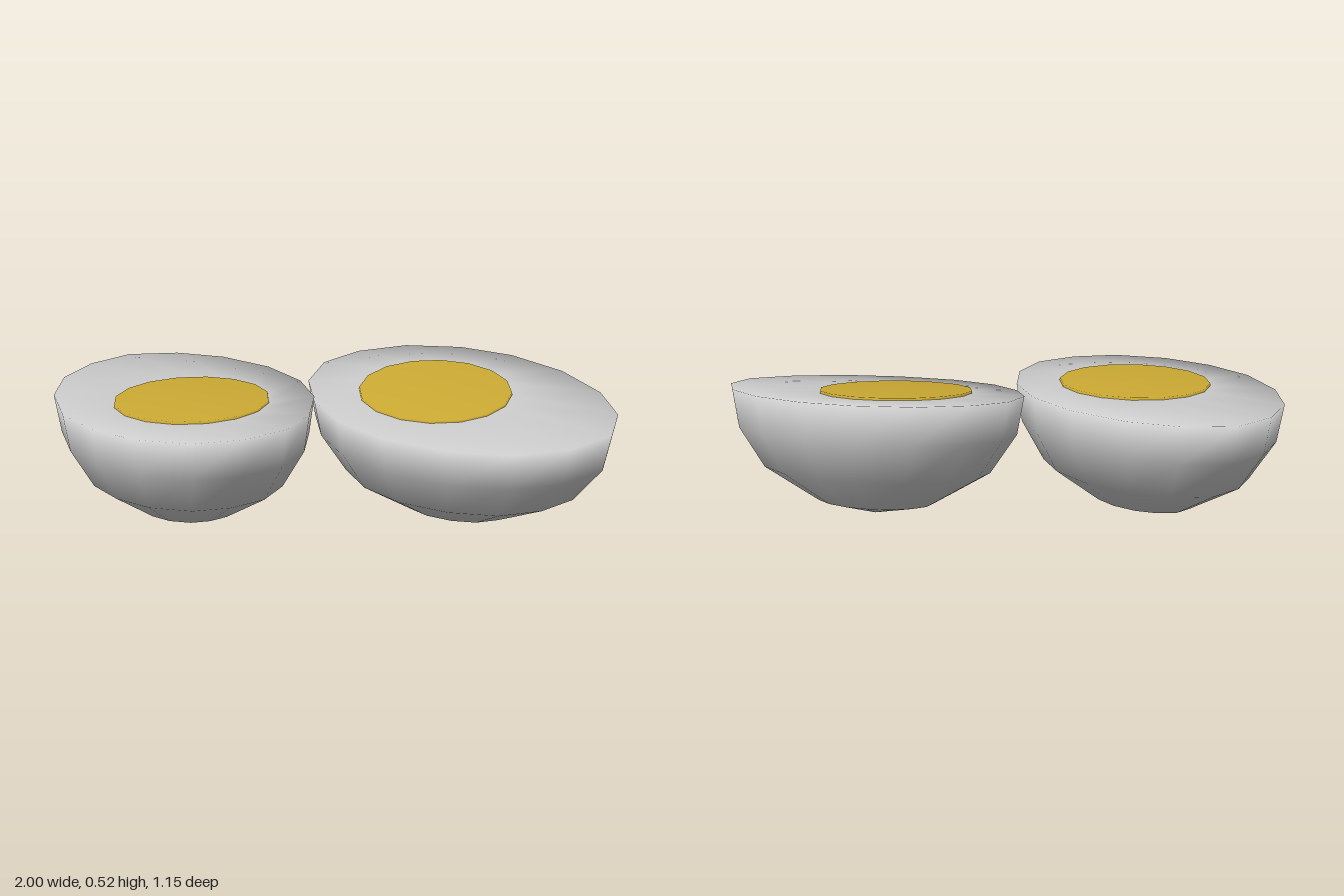
import * as THREE from 'three';

const SIDES = 16;

// Joins rings of points (a one-point ring is a pole), listed from the bottom up and inwards
function loft(rings, color, name) {
  const positions = [], starts = [], index = [];
  for (const ring of rings) {
    starts.push(positions.length / 3);
    for (const p of ring) positions.push(p.x, p.y, p.z);
  }
  for (let j = 0; j + 1 < rings.length; j++) {
    const at = (r, i) => starts[r] + (i % rings[r].length);
    for (let i = 0; i < SIDES; i++) {
      const a = at(j, i), b = at(j, i + 1), c = at(j + 1, i), d = at(j + 1, i + 1);
      if (a !== b) index.push(a, c, b);
      if (c !== d) index.push(b, c, d);
    }
  }
  const geometry = new THREE.BufferGeometry();
  geometry.setAttribute('position', new THREE.Float32BufferAttribute(positions, 3));
  geometry.setIndex(index);
  geometry.computeVertexNormals();
  const mesh = new THREE.Mesh(geometry, new THREE.MeshStandardMaterial({ color }));
  mesh.name = name;
  return mesh;
}

// One half egg: outline of the cut, centre and slopes of the cut plane, and yolk position
function halfEgg({ name, outline, center, slopeX, slopeZ, yolk }) {
  const c = new THREE.Vector3(...center);
  const normal = new THREE.Vector3(-slopeX, 1, -slopeZ).normalize();
  const onCut = (x, z) =>
    new THREE.Vector3(x, c.y + slopeX * (x - c.x) + slopeZ * (z - c.z), z);
  const rim = outline.map(([x, z]) => onCut(x, z));

  // Rounded underside: the rim shrinks as it sinks along the cut's normal
  const ringAt = ([scale, depth]) =>
    rim.map(p => p.clone().sub(c).multiplyScalar(scale).add(c).addScaledVector(normal, -depth));
  const bottom = [c.clone().addScaledVector(normal, -0.457)];
  const under = [[0.4, 0.41], [0.78, 0.285], [0.955, 0.14]].map(ringAt);

  // Circle on the cut plane, raised a little for the yolk
  const disc = (radius, height) => Array.from({ length: SIDES }, (_, i) => {
    const t = (i + 0.5) / SIDES * Math.PI * 2;
    return onCut(yolk[0] + radius * Math.sin(t), yolk[1] - radius * Math.cos(t))
      .addScaledVector(normal, height);
  });
  const middle = height => [onCut(...yolk).addScaledVector(normal, height)];

  const group = new THREE.Group();
  group.name = name;
  group.add(
    loft([bottom, ...under, rim, disc(0.27, 0), middle(0)], 0xcccccc, 'eggWhite'),
    loft([disc(0.28, -0.004), disc(0.278, 0.009), middle(0.011)], 0xccaa33, 'yolk')
  );
  return group;
}

export function createModel() {
  const model = new THREE.Group();
  model.name = 'halvedEgg';
  model.add(
    halfEgg({
      name: 'rightEggHalf',
      outline: [
        [-0.75, -0.58], [-0.56, -0.58], [-0.38, -0.5], [-0.21, -0.34],
        [-0.1, -0.14], [-0.06, 0.07], [-0.09, 0.28], [-0.18, 0.45],
        [-0.33, 0.54], [-0.5, 0.565], [-0.69, 0.5], [-0.84, 0.37],
        [-0.95, 0.19], [-1, -0.05], [-0.98, -0.28], [-0.89, -0.46]
      ],
      center: [-0.53, 0.462, -0.005], slopeX: 0.012, slopeZ: -0.012,
      yolk: [-0.5, 0.075]
    }),
    halfEgg({
      name: 'leftEggHalf',
      outline: [
        [0.33, -0.44], [0.54, -0.4], [0.72, -0.3], [0.88, -0.13],
        [0.98, 0.08], [1, 0.28], [0.94, 0.45], [0.78, 0.545],
        [0.58, 0.575], [0.36, 0.52], [0.15, 0.4], [0.01, 0.24],
        [-0.06, 0.05], [-0.07, -0.13], [0, -0.3], [0.14, -0.4]
      ],
      center: [0.46, 0.455, 0.07], slopeX: 0.02, slopeZ: -0.13,
      yolk: [0.385, 0.015]
    })
  );
  return model;
}
